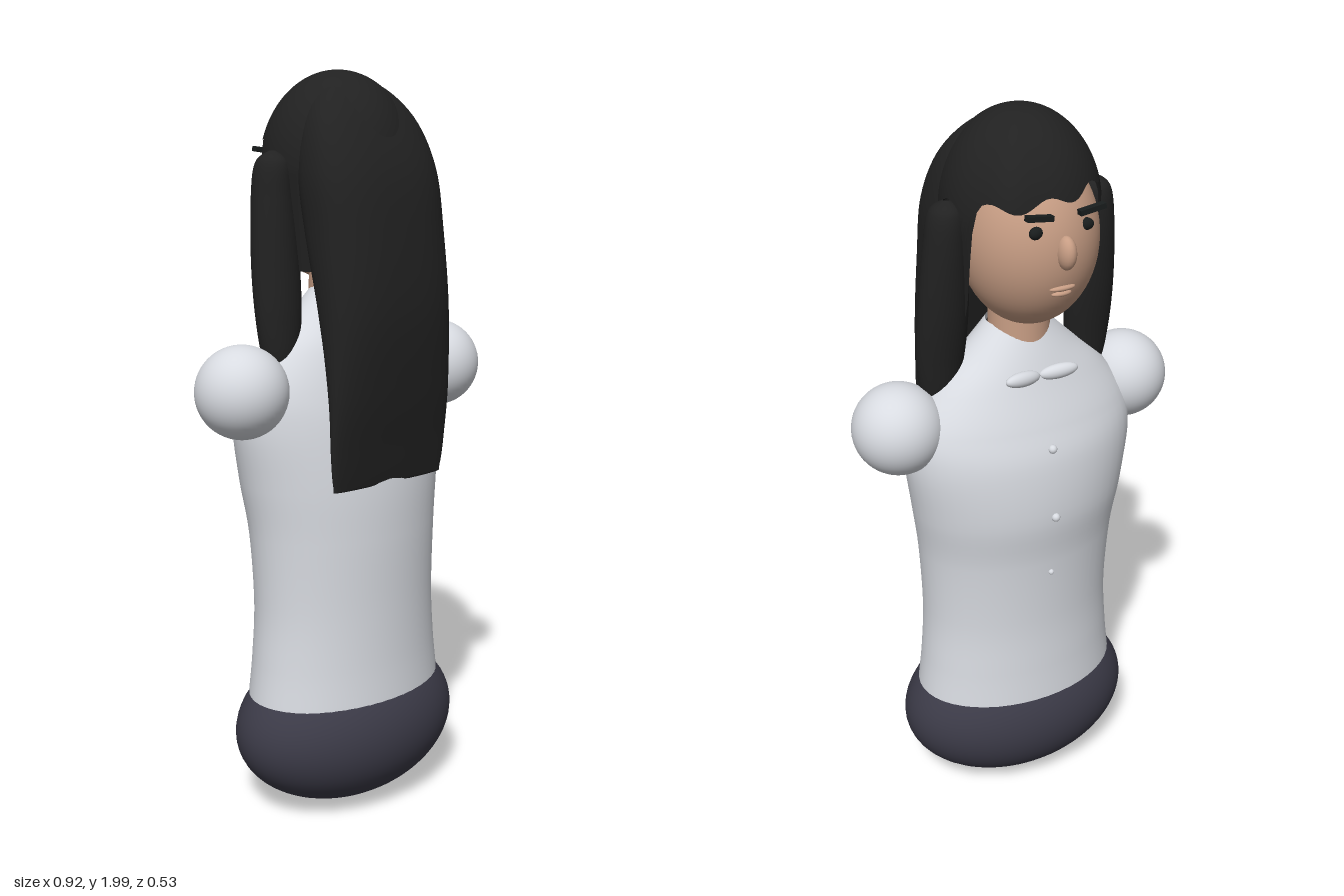
import * as THREE from 'three';
import { ParametricGeometry } from 'three/addons/geometries/ParametricGeometry.js';

const material = (name, color, side = THREE.FrontSide) => {
  const m = new THREE.MeshStandardMaterial({ color, side });
  m.name = name;
  return m;
};

// Smooth tube through rows of [y, half width, back z, front z, centre x], bottom row first.
// power 2 gives elliptical sections, higher values give boxier ones.
function loft(rows, power = 2, stacks = 48) {
  const columns = [0, 1, 2, 3, 4].map(
    (k) => new THREE.SplineCurve(rows.map((r) => new THREE.Vector2(r[k] ?? 0, 0)))
  );
  const bend = (s) => Math.sign(s) * Math.pow(Math.abs(s), 2 / power);
  return new ParametricGeometry((u, v, target) => {
    const [y, rx, z0, z1, cx] = columns.map((c) => c.getPoint(v).x);
    const a = u * Math.PI * 2;
    target.set(
      cx + rx * bend(Math.sin(a)),
      y,
      (z0 + z1) / 2 + ((z1 - z0) / 2) * bend(Math.cos(a))
    );
  }, 48, stacks);
}

// Hair cap: a dome whose lower edge is high over the face and low at the sides and back.
function hairCap() {
  return new ParametricGeometry((u, v, target) => {
    const a = u * Math.PI * 2;
    const x = Math.sin(a), z = Math.cos(a);
    const fromFace = Math.acos(THREE.MathUtils.clamp(-z, -1, 1));
    const drop = THREE.MathUtils.smoothstep(fromFace, 1.0, 1.4);
    const fringe = 1.82 + 0.012 * Math.sin(a * 9) - 0.02 * x;
    const edge = THREE.MathUtils.lerp(fringe, 1.5, drop);
    // sin spacing keeps the crown round
    const y = edge + (2 - edge) * Math.sin(v * 0.995 * Math.PI / 2);
    const h = (y - 1.75) / 0.25;
    const r = h > 0 ? Math.sqrt(Math.max(1 - h * h, 1e-6)) : 1 + 0.12 * h;
    // swept fringe: fuller on the left
    const sweep = 1 + 0.08 * Math.exp(-Math.pow((fromFace - 0.6) / 0.3, 2)) * Math.max(0, x) * 1.6;
    target.set(0.2 * r * x * sweep, y, -0.01 + 0.21 * r * z * sweep);
  }, 96, 40);
}

export function createModel() {
  const group = new THREE.Group();
  group.name = 'figure';

  const shirt = material('shirt white', 0xd8dbe1, THREE.DoubleSide);
  const trousers = material('trouser navy', 0x3b3a47);
  const skin = material('skin', 0xc79d84);
  const hair = material('hair black', 0x212121, THREE.DoubleSide);
  const dark = material('eye black', 0x191d1d);

  const add = (name, geometry, mat, x = 0, y = 0, z = 0) => {
    const mesh = new THREE.Mesh(geometry, mat);
    mesh.name = name;
    mesh.position.set(x, y, z);
    group.add(mesh);
    return mesh;
  };
  const ellipsoid = (name, mat, x, y, z, rx, ry, rz, detail = 24) =>
    add(name, new THREE.SphereGeometry(1, detail * 2, detail).scale(rx, ry, rz), mat, x, y, z);

  // Body
  ellipsoid('hips', trousers, 0, 0.228, 0.024, 0.345, 0.22, 0.237, 32);
  add('torso', loft([
    [0.34, 0.3, -0.186, 0.226],
    [0.45, 0.287, -0.18, 0.219],
    [0.6, 0.278, -0.177, 0.215],
    [0.8, 0.287, -0.188, 0.214],
    [0.95, 0.308, -0.206, 0.208],
    [1.1, 0.328, -0.197, 0.188],
    [1.2, 0.315, -0.168, 0.165],
    [1.3, 0.245, -0.13, 0.138],
    [1.38, 0.155, -0.1, 0.11],
    [1.45, 0.082, -0.07, 0.085],
  ]), shirt);

  // Head
  add('neck', new THREE.CylinderGeometry(0.078, 0.082, 0.2, 32), skin, 0, 1.47, -0.005);
  ellipsoid('head', skin, 0, 1.69, -0.05, 0.175, 0.227, 0.185, 32);
  ellipsoid('nose', skin, 0, 1.7, -0.235, 0.023, 0.042, 0.032, 12);
  ellipsoid('upperLip', skin, 0, 1.607, -0.219, 0.036, 0.008, 0.012, 10);
  ellipsoid('lowerLip', skin, 0, 1.592, -0.215, 0.028, 0.008, 0.012, 10);

  // Hair
  add('hairCap', hairCap(), hair);
  add('backHair', loft([
    [0.95, 0.02, 0.192, 0.196],
    [0.948, 0.17, 0.188, 0.203],
    [0.965, 0.187, 0.184, 0.208],
    [1.05, 0.196, 0.176, 0.222],
    [1.2, 0.2, 0.155, 0.246],
    [1.4, 0.2, 0.095, 0.264],
    [1.6, 0.2, 0.03, 0.25],
    [1.75, 0.197, 0, 0.223],
    [1.87, 0.165, 0, 0.167],
    [1.95, 0.1, 0, 0.1],
    [1.98, 0.01, 0.03, 0.05],
  ], 2.6, 64), hair);

  // Mirrored parts
  for (const s of [-1, 1]) {
    const side = s > 0 ? 'left' : 'right';
    ellipsoid(side + 'Arm', shirt, s * 0.34, 1.205, 0.018, 0.121, 0.121, 0.121, 28);
    add(side + 'Lock', loft([
      [1.24, 0.01, 0.015, 0.03, s * 0.22],
      [1.27, 0.045, -0.015, 0.06, s * 0.22],
      [1.38, 0.064, -0.035, 0.062, s * 0.217],
      [1.52, 0.066, -0.057, 0.052, s * 0.213],
      [1.68, 0.055, -0.071, 0.039, s * 0.21],
      [1.77, 0.042, -0.066, 0.028, s * 0.207],
      [1.8, 0.008, -0.03, -0.012, s * 0.205],
    ]), hair);
    ellipsoid(side + 'Eye', dark, s * 0.066, 1.752, -0.208, 0.022, 0.016, 0.014, 12).rotation.y = s * 0.35;
    add(side + 'Brow', new THREE.BoxGeometry(0.07, 0.013, 0.018), dark, s * 0.071, 1.795, -0.23)
      .rotation.z = s * 0.13;
    const bow = ellipsoid(side + 'BowTie', shirt, s * 0.052, 1.335, -0.122, 0.054, 0.02, 0.018, 14);
    bow.rotation.set(0, s * 0.15, s * 0.08);
  }

  // Buttons down the chest
  for (const [y, z, r] of [[1.15, -0.186, 0.012], [0.955, -0.207, 0.012], [0.77, -0.187, 0.008]]) {
    ellipsoid('button', shirt, 0, y, z, r, r, r, 8);
  }
  return group;
}
